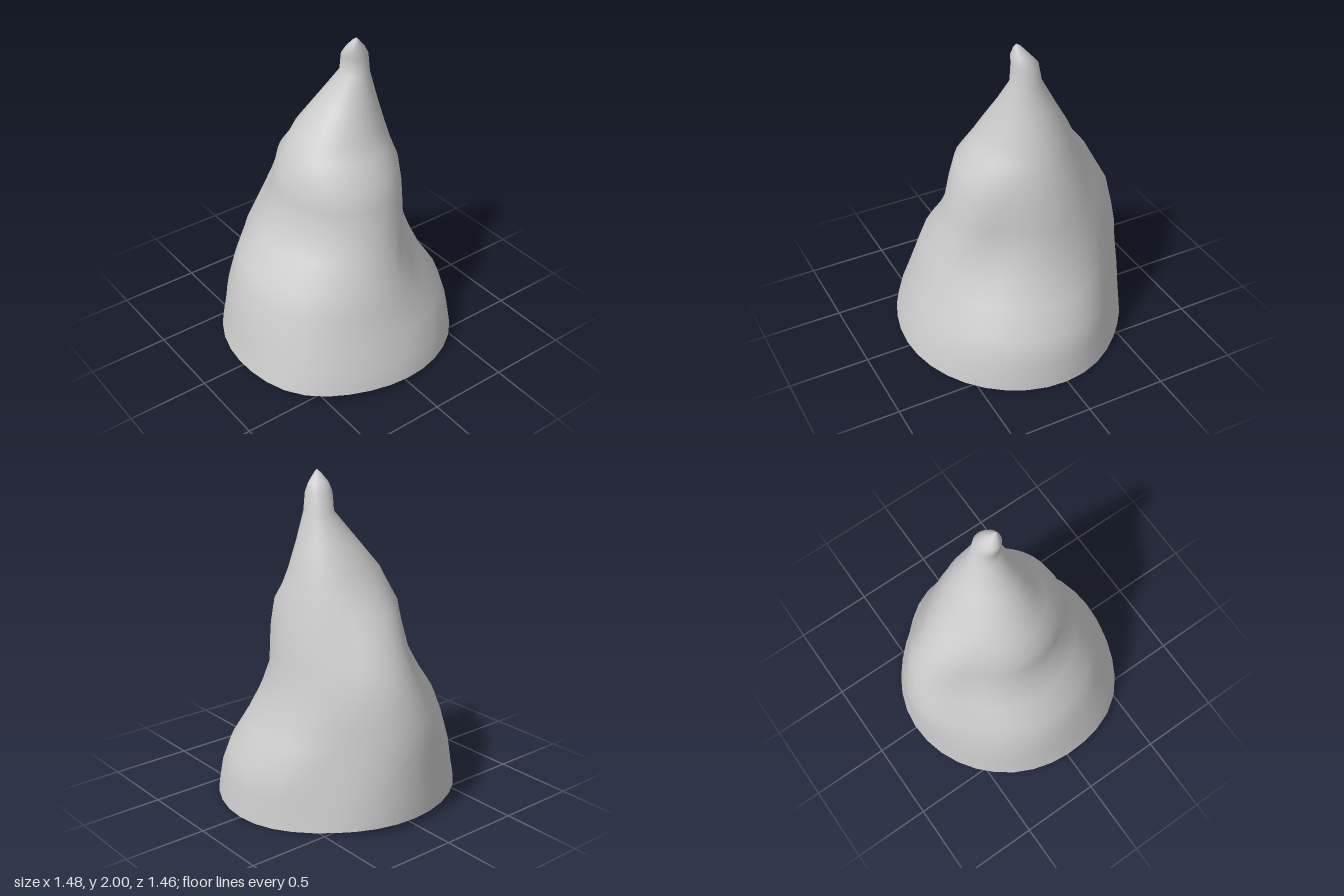
import * as THREE from 'three';

// Cross-sections: height, then min/max of x and of z
const RINGS = [
  [0.03, -0.74, 0.74, -0.73, 0.73],
  [0.17, -0.71, 0.72, -0.73, 0.70],
  [0.32, -0.69, 0.69, -0.73, 0.64],
  [0.48, -0.65, 0.59, -0.73, 0.585],
  [0.62, -0.60, 0.53, -0.72, 0.54],
  [0.78, -0.48, 0.475, -0.68, 0.47],
  [0.93, -0.39, 0.46, -0.635, 0.43],
  [1.08, -0.365, 0.43, -0.55, 0.395],
  [1.22, -0.34, 0.40, -0.465, 0.35],
  [1.33, -0.275, 0.365, -0.37, 0.26],
  [1.43, -0.215, 0.34, -0.315, 0.20],
  [1.60, -0.075, 0.285, -0.21, 0.13],
  [1.77, 0.06, 0.23, -0.11, 0.075],
  [1.88, 0.06, 0.22, -0.09, 0.065],
  [1.93, 0.065, 0.185, -0.045, 0.062],
  [1.98, 0.10, 0.14, 0.0, 0.045],
];
const SEGMENTS = 36;

// Folds in the cloth: angle, height, depth, angular width, height spread
const FOLDS = [
  [0.75, 0.8, 0.085, 0.36, 0.28],   // front left hollow
  [-0.8, 0.35, 0.11, 0.5, 0.35],    // back left, low
  [-0.8, 1.02, 0.12, 0.5, 0.25],    // back left, high
  [-2.35, 0.72, 0.15, 0.55, 0.34],  // back right, low
  [-2.35, 1.1, 0.1, 0.55, 0.25],    // back right, high
  [2.5, 0.1, -0.05, 0.4, 0.35],     // front right bulge
];

function foldDepth(angle, y) {
  return FOLDS.reduce((sum, [centre, height, depth, width, spread]) => {
    const d = Math.atan2(Math.sin(angle - centre), Math.cos(angle - centre));
    return sum + depth * Math.exp(-((d / width) ** 2) - ((y - height) / spread) ** 2);
  }, 0);
}

function ringPoint(r, i) {
  const [y, x0, x1, z0, z1] = RINGS[r];
  const angle = (i / SEGMENTS) * Math.PI * 2;
  const scale = 1 - foldDepth(angle, y);
  // The hem dips on one side and ripples a little
  const wave = r === 0 ? -0.022 * Math.cos(angle - 0.2) - 0.008 * Math.cos(2 * angle) : 0;
  return [
    (x0 + x1) / 2 + (x1 - x0) / 2 * Math.cos(angle) * scale,
    y + wave,
    (z0 + z1) / 2 + (z1 - z0) / 2 * Math.sin(angle) * scale,
  ];
}

function makeGeometry(positions, index) {
  const geometry = new THREE.BufferGeometry();
  geometry.setAttribute('position', new THREE.Float32BufferAttribute(positions, 3));
  geometry.setIndex(index);
  geometry.computeVertexNormals();
  return geometry;
}

function buildCone() {
  const positions = [], index = [];
  for (let r = 0; r < RINGS.length; r++) {
    for (let i = 0; i < SEGMENTS; i++) positions.push(...ringPoint(r, i));
  }
  const tip = positions.length / 3;
  positions.push(0.12, 2, 0.03);

  const last = (RINGS.length - 1) * SEGMENTS;
  for (let i = 0; i < SEGMENTS; i++) {
    const j = (i + 1) % SEGMENTS;
    for (let r = 0; r < RINGS.length - 1; r++) {
      const a = r * SEGMENTS + i, b = r * SEGMENTS + j;
      index.push(a, a + SEGMENTS, b, b, a + SEGMENTS, b + SEGMENTS);
    }
    index.push(last + i, tip, last + j); // pointed top
  }
  return makeGeometry(positions, index);
}

// Underside across the hem, cut straight to leave an opening at the front corner
function buildUnderside() {
  const positions = [0, 0.035, 0], index = [];
  const first = Math.round(SEGMENTS * 0.54), count = Math.round(SEGMENTS * 0.68);
  for (let k = 0; k <= count; k++) {
    positions.push(...ringPoint(0, (first + k) % SEGMENTS));
    if (k > 0) index.push(0, k, k + 1);
  }
  index.push(0, count + 1, 1);
  return makeGeometry(positions, index);
}

export function createModel() {
  const group = new THREE.Group();
  group.name = 'pointedHat';
  const material = new THREE.MeshStandardMaterial({ color: 0xcccccc, side: THREE.DoubleSide });
  const parts = { foldedCone: buildCone(), underside: buildUnderside() };
  for (const [name, geometry] of Object.entries(parts)) {
    const mesh = new THREE.Mesh(geometry, material);
    mesh.name = name;
    group.add(mesh);
  }
  return group;
}
